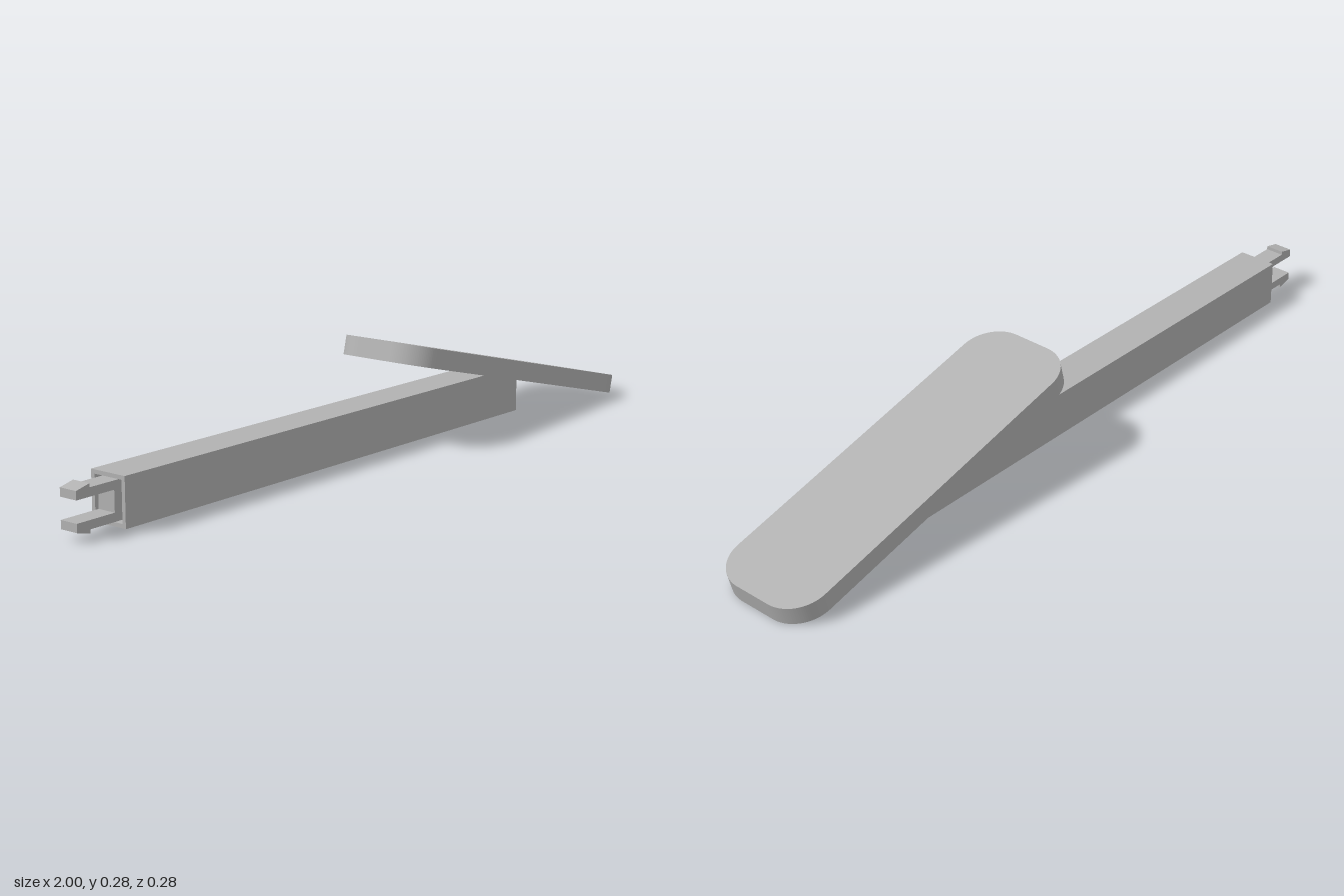
import * as THREE from 'three';

export function createModel() {
  const model = new THREE.Group();
  const grey = new THREE.MeshStandardMaterial({ color: 0xb2b2b2 });
  grey.name = 'plain grey';

  const add = (name, geometry, x = 0, y = 0, z = 0) => {
    const mesh = new THREE.Mesh(geometry, grey);
    mesh.name = name;
    mesh.position.set(x, y, z);
    model.add(mesh);
    return mesh;
  };
  const box = (name, x0, x1, y0, y1, halfZ) =>
    add(name, new THREE.BoxGeometry(x1 - x0, y1 - y0, 2 * halfZ), (x0 + x1) / 2, (y0 + y1) / 2, 0);

  // Square arm: a hollow sleeve at the clip end, solid beyond it
  const midY = 0.072, halfH = 0.06, halfW = 0.052, wall = 0.01;
  const rect = (Type, w, h) => new Type([
    new THREE.Vector2(-w, -h), new THREE.Vector2(w, -h),
    new THREE.Vector2(w, h), new THREE.Vector2(-w, h),
  ]);
  const section = rect(THREE.Shape, halfW, halfH);
  section.holes.push(rect(THREE.Path, halfW - wall, halfH - wall));
  const sleeve = new THREE.ExtrudeGeometry(section, { depth: 0.2, bevelEnabled: false });
  sleeve.rotateY(Math.PI / 2);
  add('armSleeve', sleeve, -0.88, midY, 0);
  box('arm', -0.68, 0.6, midY - halfH, midY + halfH, halfW);

  // Pair of barbed prongs, mirrored above and below the arm's axis
  for (const side of [1, -1]) {
    const outline = [[-1, 0.026], [-0.68, 0.026], [-0.68, 0.047], [-0.96, 0.047], [-0.96, 0.056], [-1, 0.047]]
      .map(([x, y]) => new THREE.Vector2(x, y * side));
    const prong = new THREE.ExtrudeGeometry(new THREE.Shape(outline), { depth: 0.05, bevelEnabled: false });
    add(side > 0 ? 'upperProng' : 'lowerProng', prong, 0, midY, -0.025);
  }
  // Bridge joining the prongs at the mouth of the sleeve
  box('prongBridge', -0.886, -0.86, midY - 0.026, midY + 0.026, 0.025);

  // Tilted pad with rounded corners
  const L = 0.485, W = 0.142, R = 0.092, T = 0.05;
  const padShape = new THREE.Shape();
  padShape.absarc(L - R, W - R, R, 0, Math.PI / 2);
  padShape.absarc(-L + R, W - R, R, Math.PI / 2, Math.PI);
  padShape.absarc(-L + R, -W + R, R, Math.PI, 1.5 * Math.PI);
  padShape.absarc(L - R, -W + R, R, 1.5 * Math.PI, 2 * Math.PI);
  const padGeometry = new THREE.ExtrudeGeometry(padShape, { depth: T, bevelEnabled: false, curveSegments: 16 });
  padGeometry.translate(0, 0, -T / 2);
  padGeometry.rotateX(-Math.PI / 2);
  const pad = add('pad', padGeometry, 0.5235, 0.1418, 0);
  pad.rotation.z = THREE.MathUtils.degToRad(-14);

  return model;
}
